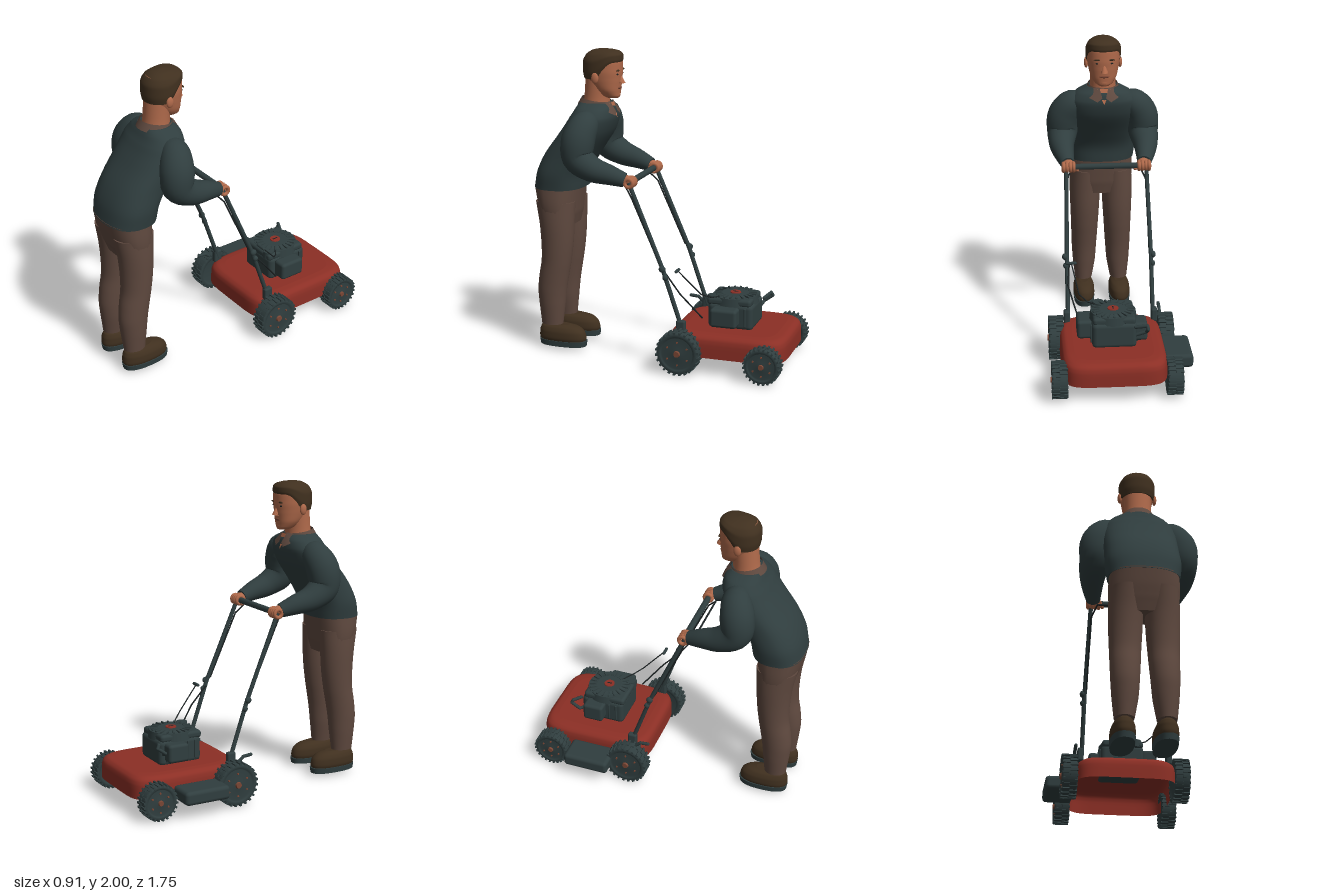
import * as THREE from 'three';
import { RoundedBoxGeometry } from 'three/addons/geometries/RoundedBoxGeometry.js';

const V = (x, y, z) => new THREE.Vector3(x, y, z);
const mat = (name, color, side = THREE.FrontSide) => {
  const m = new THREE.MeshStandardMaterial({ color, side });
  m.name = name;
  return m;
};

// Skin a list of closed rings (arrays of Vector3), with optional flat caps.
function skin(rings, caps = true) {
  const n = rings[0].length, pos = [], idx = [];
  rings.forEach(r => r.forEach(p => pos.push(p.x, p.y, p.z)));
  for (let i = 0; i < rings.length - 1; i++) for (let j = 0; j < n; j++) {
    const a = i * n + j, b = i * n + (j + 1) % n;
    idx.push(a, a + n, b, b, a + n, b + n);
  }
  const addCap = (ring, top) => {
    const base = pos.length / 3, c = V(0, 0, 0);
    ring.forEach(p => { pos.push(p.x, p.y, p.z); c.addScaledVector(p, 1 / n); });
    pos.push(c.x, c.y, c.z);
    for (let j = 0; j < n; j++) {
      const k = (j + 1) % n;
      idx.push(base + n, base + (top ? k : j), base + (top ? j : k));
    }
  };
  if (caps) addCap(rings[0], false);
  if (caps || caps === null) addCap(rings[rings.length - 1], true);
  const g = new THREE.BufferGeometry();
  g.setAttribute('position', new THREE.Float32BufferAttribute(pos, 3));
  g.setIndex(idx);
  g.computeVertexNormals();
  return g;
}

// Horizontal superellipse sections, rows ascending: [y, cx, cz, rx, rz].
function loft(rows, { power = 2, seg = 32, steps = 5, caps = true } = {}) {
  const centre = new THREE.CatmullRomCurve3(rows.map(r => V(r[1], r[0], r[2])));
  const size = new THREE.CatmullRomCurve3(rows.map(r => V(r[3], 0, r[4])));
  const bend = v => Math.sign(v) * Math.abs(v) ** (2 / power);
  const count = (rows.length - 1) * steps, rings = [];
  for (let i = 0; i <= count; i++) {
    const c = centre.getPoint(i / count), s = size.getPoint(i / count);
    rings.push(Array.from({ length: seg }, (_, j) => {
      const a = j / seg * Math.PI * 2;
      return V(c.x + s.x * bend(Math.cos(a)), c.y, c.z + s.z * bend(Math.sin(a)));
    }));
  }
  return skin(rings, caps);
}

// Round limb along a path; points are [x, y, z, radius].
function limb(points, seg = 24, count = 28) {
  const path = new THREE.CatmullRomCurve3(points.map(p => V(p[0], p[1], p[2])));
  const size = new THREE.CatmullRomCurve3(points.map(p => V(p[3], 0, 0)));
  const rings = [];
  for (let i = 0; i <= count; i++) {
    const t = i / count, c = path.getPoint(t), T = path.getTangent(t);
    const N = V(1, 0, 0).addScaledVector(T, -T.x).normalize(), B = T.clone().cross(N);
    const r = size.getPoint(t).x;
    rings.push(Array.from({ length: seg }, (_, j) => {
      const a = j / seg * Math.PI * 2;
      return c.clone().addScaledVector(N, r * Math.cos(a)).addScaledVector(B, -r * Math.sin(a));
    }));
  }
  return skin(rings);
}

export function createModel() {
  const root = new THREE.Group();
  const slate = mat('slate', 0x303e3f), red = mat('deck red', 0x8c2f25, THREE.DoubleSide);
  const brown = mat('trouser brown', 0x5f493f, THREE.DoubleSide), dark = mat('dark brown', 0x40301f);
  const flesh = mat('skin', 0xb06a4b, THREE.DoubleSide), black = mat('black', 0x1c2223), rust = mat('rust', 0x7a4634);

  const add = (parent, name, geo, m, x = 0, y = 0, z = 0) => {
    const mesh = new THREE.Mesh(geo, m);
    mesh.name = name;
    mesh.position.set(x, y, z);
    parent.add(mesh);
    return mesh;
  };
  const group = (parent, name, x = 0, y = 0, z = 0) => {
    const g = new THREE.Group();
    g.name = name;
    g.position.set(x, y, z);
    parent.add(g);
    return g;
  };
  const ball = (parent, name, m, x, y, z, rx, ry, rz) =>
    add(parent, name, new THREE.SphereGeometry(1, 20, 14), m, x, y, z).scale.set(rx, ry, rz);
  const box = (parent, name, m, x, y, z, w, h, d, r = 0.012) =>
    add(parent, name, new RoundedBoxGeometry(w, h, d, 2, Math.min(r, w / 2.1, h / 2.1, d / 2.1)), m, x, y, z);
  const disc = (parent, name, m, x, y, z, r0, r1, h, seg = 32) =>
    add(parent, name, new THREE.CylinderGeometry(r0, r1, h, seg), m, x, y, z);
  const rods = (parent, name, m, r, pts) => pts.slice(1).forEach((p, i) => {
    const a = V(...pts[i]), d = V(...p).sub(a);
    const mesh = add(parent, name, new THREE.CapsuleGeometry(r, d.length(), 4, 10), m);
    mesh.position.copy(a).addScaledVector(d, 0.5);
    mesh.quaternion.setFromUnitVectors(V(0, 1, 0), d.normalize());
  });
  const plate = (parent, name, m, pts) => {
    const g = new THREE.BufferGeometry().setFromPoints(pts.map(p => V(...p)));
    g.setIndex(pts.slice(2).flatMap((_, i) => [0, i + 1, i + 2]));
    g.computeVertexNormals();
    add(parent, name, g, m);
  };

  // Person, facing -z
  const man = group(root, 'person', 0.04);
  add(man, 'sweater', loft([
    [1.09, 0, 0.712, 0.222, 0.167], [1.2, 0, 0.69, 0.235, 0.165], [1.315, 0, 0.63, 0.232, 0.17],
    [1.46, 0, 0.53, 0.235, 0.163], [1.56, 0, 0.48, 0.225, 0.146], [1.62, 0, 0.467, 0.18, 0.122],
    [1.655, 0, 0.472, 0.11, 0.1]], { power: 2.4 }), slate);
  add(man, 'trouserSeat', loft([
    [0.84, 0, 0.71, 0.17, 0.1], [0.92, 0, 0.715, 0.212, 0.122], [1.0, 0, 0.722, 0.218, 0.137],
    [1.1, 0, 0.727, 0.214, 0.152]], { power: 2.4 }), brown);

  // Head
  add(man, 'neck', loft([[1.6, 0, 0.47, 0.09, 0.09], [1.7, 0, 0.462, 0.085, 0.082],
    [1.82, 0, 0.45, 0.088, 0.085]]), flesh);
  add(man, 'head', loft([
    [1.686, 0, 0.355, 0.035, 0.04], [1.7, 0, 0.37, 0.058, 0.062], [1.74, 0, 0.388, 0.084, 0.084],
    [1.8, 0, 0.41, 0.1, 0.113], [1.86, 0, 0.416, 0.109, 0.123], [1.92, 0, 0.416, 0.11, 0.122],
    [1.97, 0, 0.42, 0.085, 0.1], [1.99, 0, 0.42, 0.035, 0.05]], { power: 2.15 }), flesh);
  const hair = loft([[1.81, 0, 0.42, 0.108, 0.122], [1.86, 0, 0.42, 0.116, 0.13], [1.92, 0, 0.42, 0.115, 0.129],
    [1.965, 0, 0.42, 0.094, 0.106], [1.99, 0, 0.42, 0.055, 0.065], [2, 0, 0.42, 0.008, 0.01]], { power: 2.15 });
  const hp = hair.attributes.position;
  for (let i = 0; i < hp.count; i++) { // raise the hairline towards the face
    const low = 1.81 + 0.1 * (1 - THREE.MathUtils.smoothstep(hp.getZ(i), 0.32, 0.46));
    hp.setY(i, low + (hp.getY(i) - 1.81) / 0.19 * (2 - low));
  }
  hair.computeVertexNormals();
  add(man, 'hair', hair, dark);
  const nose = add(man, 'nose', new THREE.ConeGeometry(0.024, 0.075, 12), flesh, 0, 1.815, 0.301);
  nose.rotation.x = 0.2;
  ball(man, 'noseTip', flesh, 0, 1.79, 0.297, 0.022, 0.014, 0.018);
  ball(man, 'mouth', rust, 0, 1.752, 0.308, 0.032, 0.009, 0.009);
  ball(man, 'chin', flesh, 0, 1.71, 0.328, 0.036, 0.022, 0.022);

  // Collar with open neck
  const collar = add(man, 'collar', new THREE.CylinderGeometry(0.098, 0.118, 0.05, 32, 1, true), brown, 0, 1.648, 0.47);
  collar.rotation.x = -0.15;
  plate(man, 'openNeck', flesh, [[-0.045, 1.655, 0.362], [0.045, 1.655, 0.362], [0, 1.555, 0.325]]);

  for (const s of [-1, 1]) {
    plate(man, 'collarFlap', brown, [[s * 0.03, 1.665, 0.365], [s * 0.1, 1.65, 0.41], [s * 0.095, 1.6, 0.345],
      [s * 0.045, 1.575, 0.322], [s * 0.012, 1.6, 0.33]]);
    ball(man, 'ear', flesh, s * 0.112, 1.82, 0.435, 0.014, 0.036, 0.024);
    ball(man, 'eye', black, s * 0.042, 1.842, 0.306, 0.016, 0.006, 0.005);
    ball(man, 'eyebrow', dark, s * 0.044, 1.866, 0.303, 0.026, 0.006, 0.007);
    // Arms and hands
    add(man, 'sleeve', limb([[s * 0.12, 1.545, 0.47, 0.06], [s * 0.205, 1.53, 0.472, 0.094], [s * 0.262, 1.44, 0.495, 0.108],
      [s * 0.272, 1.335, 0.492, 0.102], [s * 0.28, 1.27, 0.4, 0.083], [s * 0.268, 1.235, 0.28, 0.064],
      [s * 0.252, 1.205, 0.185, 0.046]]), slate);
    ball(man, 'palm', flesh, s * 0.247, 1.207, 0.172, 0.038, 0.03, 0.036);
    for (let f = 0; f < 4; f++) {
      const finger = add(man, 'finger', new THREE.TorusGeometry(0.026, 0.0125, 8, 16), flesh, s * 0.247 + (f - 1.5) * 0.022, 1.193, 0.15);
      finger.rotation.y = Math.PI / 2;
    }
    rods(man, 'thumb', flesh, 0.012, [[s * 0.212, 1.195, 0.18], [s * 0.19, 1.172, 0.15]]);
    // Legs and shoes
    add(man, 'trouserLeg', loft([
      [0.165, s * 0.125, 0.752, 0.06, 0.073], [0.3, s * 0.12, 0.752, 0.079, 0.088], [0.4, s * 0.119, 0.75, 0.086, 0.097],
      [0.5, s * 0.117, 0.737, 0.091, 0.1], [0.6, s * 0.115, 0.72, 0.095, 0.1], [0.72, s * 0.113, 0.712, 0.101, 0.107],
      [0.85, s * 0.111, 0.713, 0.106, 0.116], [1.0, s * 0.105, 0.722, 0.108, 0.133]]), brown);
    add(man, 'shoe', loft([[0.05, s * 0.126, 0.678, 0.064, 0.155], [0.08, s * 0.126, 0.678, 0.074, 0.163],
      [0.12, s * 0.126, 0.682, 0.072, 0.156], [0.15, s * 0.126, 0.695, 0.058, 0.132],
      [0.165, s * 0.126, 0.715, 0.035, 0.09]], { power: 2.3 }), dark);
    add(man, 'shoeSole', loft([[0.023, s * 0.126, 0.675, 0.07, 0.16], [0.06, s * 0.126, 0.675, 0.074, 0.166]],
      { power: 2.4, steps: 1 }), slate);
  }

  // Mower deck, open underneath
  const mower = group(root, 'mower');
  add(mower, 'deck', loft([[0.115, 0.05, -0.49, 0.33, 0.385], [0.2, 0.05, -0.49, 0.328, 0.384], [0.235, 0.05, -0.49, 0.32, 0.375],
    [0.256, 0.05, -0.49, 0.295, 0.35], [0.262, 0.05, -0.49, 0.25, 0.305]], { power: 5.5, seg: 64, steps: 3, caps: null }), red);
  box(mower, 'dischargeChute', slate, -0.36, 0.142, -0.47, 0.19, 0.09, 0.31, 0.025);

  // Wheels with staggered tread lugs
  const wheel = (x, r, z, s) => {
    const w = group(mower, 'wheel', x, r, z), h = 0.048, q = r - 0.008;
    w.rotation.z = -s * Math.PI / 2; // local +y points outward
    const profile = [[0, -h * 0.7], [q * 0.75, -h * 0.7], [q * 0.8, -h], [q * 0.96, -h], [q, -h * 0.8], [q, h * 0.8],
      [q * 0.96, h], [q * 0.8, h], [q * 0.75, h * 0.7], [q * 0.25, h * 0.95], [0, h * 0.95]];
    add(w, 'tyre', new THREE.LatheGeometry(profile.map(p => new THREE.Vector2(...p)), 40), slate);
    for (let i = 0; i < 48; i++) {
      const a = i / 48 * Math.PI * 2;
      const lug = add(w, 'treadLug', new THREE.BoxGeometry(0.016, h * 1.05, r * 0.1), slate,
        Math.cos(a) * (r - 0.008), (i % 2 ? 1 : -1) * h * 0.5, Math.sin(a) * (r - 0.008));
      lug.rotation.y = -a;
    }
    disc(w, 'hubCap', rust, 0, h, 0, r * 0.13, r * 0.17, 0.018, 16);
    for (let i = 0; i < 6; i++) {
      const a = i / 6 * Math.PI * 2;
      disc(w, 'hubBolt', rust, Math.cos(a) * r * 0.52, h * 0.83, Math.sin(a) * r * 0.52, 0.006, 0.006, 0.012, 8);
    }
  };
  for (const s of [-1, 1]) {
    const x = 0.04 + s * 0.357;
    wheel(x, 0.143, -0.21, s);
    wheel(x, 0.119, -0.757, s);
    // Handle legs, brackets and clamp knobs
    const at = (o, y, z) => [0.04 + s * o, y, z];
    rods(mower, 'handleTube', slate, 0.014, [at(0.277, 0.27, -0.205), at(0.275, 0.65, -0.075), at(0.262, 1.19, 0.155)]);
    box(mower, 'handleBracket', slate, 0.04 + s * 0.285, 0.285, -0.2, 0.04, 0.09, 0.06);
    ball(mower, 'clampKnob', slate, 0.04 + s * 0.288, 0.655, -0.075, 0.018, 0.022, 0.022);
    ball(mower, 'lowerKnob', slate, 0.04 + s * 0.285, 0.6, -0.095, 0.016, 0.02, 0.018);
    rods(mower, 'bailLeg', black, 0.005, [at(0.225, 1.165, 0.195), at(0.26, 1.1, 0.14), at(0.265, 0.68, -0.05)]);
  }
  rods(mower, 'handleBar', slate, 0.02, [[-0.21, 1.193, 0.152], [0.29, 1.193, 0.152]]);
  rods(mower, 'bailBar', black, 0.006, [[-0.185, 1.165, 0.197], [0.265, 1.165, 0.197]]);
  rods(mower, 'heightLever', slate, 0.011, [[-0.285, 0.255, -0.18], [-0.285, 0.3, -0.13], [-0.285, 0.305, -0.075]]);

  // Engine
  const engine = group(mower, 'engine', 0.045, 0, -0.48);
  box(engine, 'engineBlock', slate, 0, 0.335, 0, 0.28, 0.17, 0.295, 0.03);
  box(engine, 'engineShroud', slate, 0, 0.428, 0.01, 0.27, 0.05, 0.29, 0.02);
  disc(engine, 'fanHousing', slate, 0, 0.43, 0, 0.142, 0.15, 0.05, 40);
  disc(engine, 'fanCover', slate, 0, 0.456, 0, 0.085, 0.135, 0.012, 40);
  for (let i = 0; i < 20; i++) {
    const a = i / 20 * Math.PI * 2;
    const fin = add(engine, 'coolingFin', new THREE.BoxGeometry(0.05, 0.012, 0.01), slate, Math.cos(a) * 0.11, 0.459, Math.sin(a) * 0.11);
    fin.rotation.y = -a;
  }
  disc(engine, 'starterCap', red, 0, 0.464, 0, 0.034, 0.036, 0.008, 24);
  box(engine, 'starterBadge', black, 0, 0.468, 0, 0.008, 0.004, 0.035, 0.001);
  box(engine, 'airFilter', slate, 0.18, 0.345, 0.022, 0.1, 0.12, 0.175, 0.02);
  box(engine, 'muffler', slate, -0.165, 0.345, -0.045, 0.09, 0.12, 0.14, 0.02);
  for (const s of [-1, 1]) for (let i = 0; i < 5; i++)
    box(engine, 'blockRib', slate, s * 0.142, 0.34, -0.1 + i * 0.05, 0.014, 0.12, 0.012, 0.004);
  disc(engine, 'fuelCap', slate, 0.087, 0.435, 0.122, 0.036, 0.038, 0.05, 24);
  rods(engine, 'fillerPipe', slate, 0.011, [[-0.13, 0.33, -0.12], [-0.2, 0.36, -0.14], [-0.205, 0.4, -0.195],
    [-0.2, 0.42, -0.185], [-0.13, 0.4, -0.155]]);

  // Starter rope, its grip and the control cable
  rods(mower, 'starterRope', black, 0.004, [[0.12, 0.455, -0.42], [0.2, 0.46, -0.365], [0.25, 0.49, -0.31], [0.29, 0.645, -0.165]]);
  rods(mower, 'starterGrip', slate, 0.01, [[0.265, 0.645, -0.165], [0.32, 0.645, -0.165]]);
  rods(mower, 'controlCable', black, 0.005, [[0.3, 0.62, -0.09], [0.315, 0.5, -0.19], [0.26, 0.34, -0.32]]);
  return root;
}
